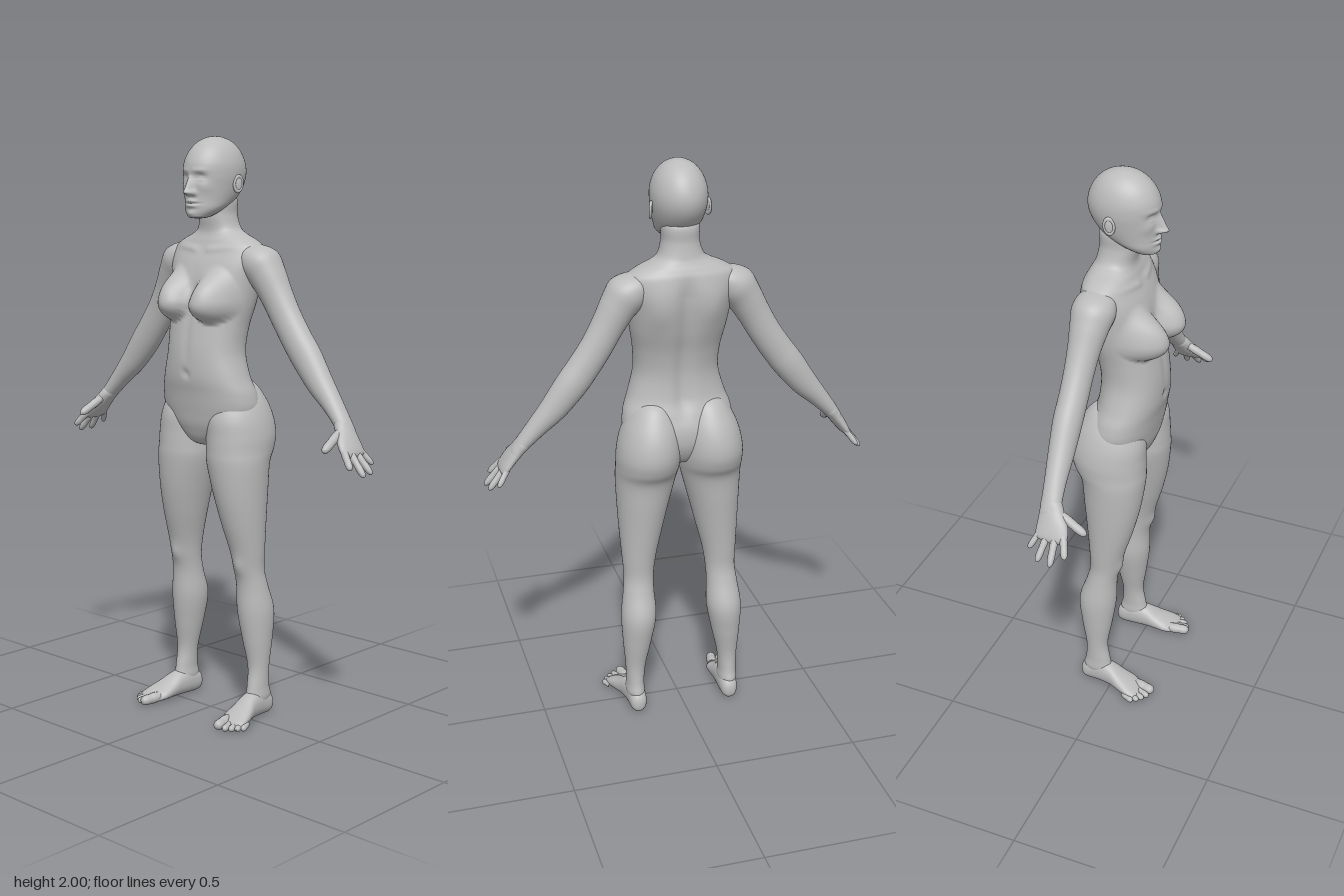
import * as THREE from 'three';

const V = (x, y, z) => new THREE.Vector3(x, y, z);
const bump = (v, c, s) => Math.exp(-(((v - c) / s) ** 2));
const step = THREE.MathUtils.smoothstep;
const clamp = THREE.MathUtils.clamp;
const X = V(1, 0, 0), Y = V(0, 1, 0), Z = V(0, 0, 1);

// Catmull-Rom value of one section component
function spline(a, b, c, d, t) {
  return b + 0.5 * t * (c - a + t * (2 * a - 5 * b + 4 * c - d + t * (3 * (b - c) + d - a)));
}

// Smooth skin through sections [x, y, z, radius along u, radius along v]
function loft(sections, u, v, { segs = 32, steps = 5, power = 2, warp } = {}) {
  const n = sections.length, pos = [], idx = [];
  const rows = (n - 1) * steps;
  for (let r = 0; r <= rows; r++) {
    const i = Math.min(Math.floor(r / steps), n - 2), t = r / steps - i;
    const at = (k) => sections[clamp(k, 0, n - 1)];
    const s = at(i).map((_, k) => spline(at(i - 1)[k], at(i)[k], at(i + 1)[k], at(i + 2)[k], t));
    for (let j = 0; j < segs; j++) {
      const a = (j / segs) * Math.PI * 2, c = Math.cos(a), d = Math.sin(a);
      const p = V(s[0], s[1], s[2])
        .addScaledVector(u, Math.max(s[3], 0.0002) * Math.sign(c) * Math.abs(c) ** (2 / power))
        .addScaledVector(v, Math.max(s[4], 0.0002) * Math.sign(d) * Math.abs(d) ** (2 / power));
      if (warp) warp(p);
      pos.push(p.x, p.y, p.z);
    }
  }
  const first = sections[0], last = sections[n - 1];
  const along = V(last[0] - first[0], last[1] - first[1], last[2] - first[2]);
  const outward = u.clone().cross(v).dot(along) > 0;
  for (let r = 0; r < rows; r++) for (let j = 0; j < segs; j++) {
    const a = r * segs + j, b = r * segs + (j + 1) % segs, c = a + segs, d = b + segs;
    if (outward) idx.push(a, b, d, a, d, c);
    else idx.push(a, d, b, a, c, d);
  }
  const g = new THREE.BufferGeometry();
  g.setAttribute('position', new THREE.Float32BufferAttribute(pos, 3));
  g.setIndex(idx);
  g.computeVertexNormals();
  return g;
}

// Rounded finger or toe from a base point to a tip
function digit(base, tip, r, flat = 1) {
  const dir = tip.clone().sub(base), len = dir.length();
  const u = dir.clone().cross(Math.abs(dir.z) > 0.6 * len ? X : Z).normalize();
  const v = dir.clone().cross(u).normalize();
  const rings = [[0, 0.9], [0.3, 1], [0.5, 0.92], [0.68, 0.95], [0.86, 0.82], [0.96, 0.5], [1, 0]];
  return loft(rings.map(([t, k]) => [...base.clone().lerp(tip, t).toArray(), r * k * flat, r * k]), u, v, { segs: 14, steps: 3 });
}

function mirror(g) {
  const m = g.clone().scale(-1, 1, 1), i = m.index.array;
  for (let k = 0; k < i.length; k += 3) [i[k], i[k + 1]] = [i[k + 1], i[k]];
  m.computeVertexNormals();
  return m;
}

// Horizontal section from height, half width, front z and back z
const slice = (y, rx, front, back, x = 0) => [x, y, (front + back) / 2, rx, (front - back) / 2];

// Chest, collarbones, navel, spine and shoulder blades
function shapeTorso(p) {
  const x = Math.abs(p.x), y = p.y;
  if (p.z > 0) {
    const w = step(p.z, 0, 0.05), up = y - 1.45;
    const d = ((x - 0.086) / 0.077) ** 2 + (up / (up < 0 ? 0.066 : 0.125)) ** 2;
    if (d < 1) p.z += w * 0.077 * (1 - d) ** (0.75 + 0.9 * clamp(up / 0.1, 0, 1));
    p.z -= 0.009 * bump(x, 0, 0.012) * bump(y, 1.21, 0.014);
    p.z -= 0.004 * bump(x, 0, 0.014) * step(y, 1.22, 1.3) * (1 - step(y, 1.5, 1.6));
    p.z += 0.006 * w * bump(y, 1.622 + 0.12 * x, 0.011) * step(x, 0.01, 0.03) * (1 - step(x, 0.12, 0.16));
  } else if (p.z < -0.05) {
    p.z += 0.016 * bump(x, 0, 0.028) * step(y, 1.1, 1.2) * (1 - step(y, 1.56, 1.66));
    p.z -= 0.01 * bump(x, 0.095, 0.045) * bump(y, 1.52, 0.07);
  }
}

// Nose, eyes, mouth, chin and cheeks
function shapeFace(p) {
  if (p.z < 0.02) return;
  const x = Math.abs(p.x), y = p.y, w = step(p.z, 0.02, 0.05);
  const n = clamp((1.872 - y) / 0.056, 0, 1);
  let d = 0.035 * n * step(y, 1.801, 1.813) * bump(x, 0, 0.009 + 0.005 * n);
  d += 0.011 * bump(x, 0.014, 0.007) * bump(y, 1.812, 0.008);
  d -= 0.015 * bump(x, 0.034, 0.018) * bump(y, 1.863, 0.013);
  d += 0.009 * bump(x, 0.035, 0.013) * bump(y, 1.86, 0.008);
  d -= 0.003 * bump(x, 0.035, 0.013) * bump(y, 1.86, 0.0025);
  d += 0.003 * bump(x, 0.03, 0.025) * bump(y, 1.886, 0.008);
  d += 0.009 * bump(x, 0, 0.021) * (bump(y, 1.785, 0.006) + bump(y, 1.77, 0.0065));
  d -= 0.005 * bump(x, 0, 0.026) * bump(y, 1.778, 0.003);
  d += 0.006 * bump(x, 0, 0.02) * bump(y, 1.744, 0.012);
  d += 0.004 * bump(x, 0.052, 0.018) * bump(y, 1.83, 0.018);
  p.z += d * w;
}

export function createModel() {
  const model = new THREE.Group();
  model.name = 'mannequin';
  const grey = new THREE.MeshStandardMaterial({ color: 0xbcbcbc });
  grey.name = 'plain grey';
  const add = (name, g) => {
    const m = new THREE.Mesh(g, grey);
    m.name = name;
    model.add(m);
  };
  const pair = (name, g) => {
    add('left' + name, g);
    add('right' + name, mirror(g));
  };

  // Torso and neck, from the groin upwards
  add('torsoAndNeck', loft([
    slice(0.945, 0, -0.02, -0.02), slice(0.965, 0.06, 0.06, -0.08), slice(1.02, 0.15, 0.092, -0.115),
    slice(1.08, 0.19, 0.105, -0.122), slice(1.14, 0.188, 0.115, -0.108), slice(1.2, 0.167, 0.126, -0.09),
    slice(1.28, 0.147, 0.126, -0.085), slice(1.36, 0.15, 0.115, -0.097), slice(1.44, 0.164, 0.1, -0.12),
    slice(1.52, 0.176, 0.085, -0.137), slice(1.58, 0.188, 0.065, -0.142), slice(1.63, 0.183, 0.04, -0.135),
    slice(1.655, 0.15, 0.03, -0.125), slice(1.675, 0.105, 0.022, -0.115), slice(1.695, 0.077, 0.02, -0.108),
    slice(1.74, 0.063, 0.024, -0.1), slice(1.8, 0.058, 0.02, -0.095), slice(1.83, 0, -0.03, -0.03),
  ], X, Z, { segs: 96, steps: 8, power: 2.2, warp: shapeTorso }));

  // Head
  add('head', loft([
    slice(1.727, 0, 0.06, 0.06), slice(1.731, 0.03, 0.09, 0.03), slice(1.742, 0.048, 0.096, 0),
    slice(1.762, 0.066, 0.097, -0.04), slice(1.79, 0.077, 0.097, -0.09), slice(1.83, 0.087, 0.098, -0.124),
    slice(1.87, 0.093, 0.101, -0.139), slice(1.91, 0.091, 0.098, -0.136), slice(1.95, 0.077, 0.078, -0.117),
    slice(1.98, 0.053, 0.046, -0.087), slice(1.996, 0.024, 0.01, -0.05), slice(2, 0, -0.02, -0.02),
  ], X, Z, { segs: 120, steps: 11, warp: shapeFace }));

  // Ears: a rim around a shallow bowl
  const placeEar = (g) => g.rotateY(-0.3).rotateX(-0.15).translate(0.096, 1.842, -0.032);
  pair('EarRim', placeEar(new THREE.TorusGeometry(0.016, 0.005, 10, 28).rotateY(Math.PI / 2).scale(1, 1.5, 0.95)));
  pair('EarBowl', placeEar(new THREE.SphereGeometry(1, 20, 14).scale(0.006, 0.026, 0.016)));

  // Arms, from inside the shoulder to the wrist
  const across = V(0.81, 0.586, 0);
  pair('Arm', loft([
    [0.12, 1.64, -0.05, 0, 0], [0.14, 1.62, -0.05, 0.04, 0.054], [0.178, 1.583, -0.05, 0.068, 0.072],
    [0.215, 1.535, -0.052, 0.062, 0.063], [0.25, 1.475, -0.055, 0.056, 0.053], [0.29, 1.405, -0.057, 0.054, 0.048],
    [0.335, 1.338, -0.057, 0.054, 0.047], [0.38, 1.278, -0.057, 0.054, 0.047], [0.44, 1.2, -0.053, 0.046, 0.042],
    [0.5, 1.135, -0.047, 0.034, 0.036], [0.55, 1.078, -0.04, 0.025, 0.034], [0.575, 1.046, -0.034, 0.018, 0.034],
    [0.585, 1.034, -0.03, 0, 0],
  ], across, Z, { segs: 40, steps: 6 }));

  // Hands
  pair('Palm', loft([
    [0.53, 1.1, -0.043, 0, 0], [0.54, 1.09, -0.042, 0.024, 0.032], [0.563, 1.06, -0.031, 0.023, 0.042],
    [0.585, 1.03, -0.02, 0.021, 0.052], [0.606, 1.0, -0.016, 0.017, 0.055], [0.616, 0.986, -0.016, 0.011, 0.046],
    [0.621, 0.979, -0.016, 0, 0],
  ], across, Z, { segs: 32 }));
  const fingers = [
    ['IndexFinger', V(0.602, 1.006, 0.024), V(0.65, 0.952, 0.048), 0.0125],
    ['MiddleFinger', V(0.605, 1.002, -0.002), V(0.672, 0.926, 0.005), 0.0125],
    ['RingFinger', V(0.603, 1.002, -0.029), V(0.665, 0.928, -0.043), 0.012],
    ['LittleFinger', V(0.595, 1.012, -0.052), V(0.638, 0.952, -0.083), 0.0105],
    ['Thumb', V(0.562, 1.055, 0), V(0.572, 1.006, 0.09), 0.0155],
  ];
  for (const [name, base, tip, r] of fingers) pair(name, digit(base, tip, r));

  // Legs, from the buttocks to the ankle, with a kneecap
  pair('Leg', loft([
    slice(1.2, 0, -0.03, -0.03, 0.09), slice(1.175, 0.05, 0.03, -0.092, 0.095), slice(1.12, 0.086, 0.07, -0.133, 0.1),
    slice(1.06, 0.104, 0.094, -0.158, 0.106), slice(1, 0.11, 0.098, -0.165, 0.111), slice(0.95, 0.109, 0.1, -0.152, 0.113),
    slice(0.9, 0.105, 0.1, -0.125, 0.117), slice(0.8, 0.09, 0.088, -0.112, 0.128), slice(0.7, 0.075, 0.066, -0.1, 0.138),
    slice(0.6, 0.06, 0.037, -0.09, 0.147), slice(0.53, 0.053, 0.02, -0.087, 0.15), slice(0.47, 0.055, 0.01, -0.1, 0.154),
    slice(0.38, 0.062, 0.008, -0.127, 0.158), slice(0.28, 0.051, -0.005, -0.117, 0.165), slice(0.18, 0.036, -0.02, -0.1, 0.172),
    slice(0.11, 0.032, -0.01, -0.102, 0.174), slice(0.07, 0.033, -0.005, -0.11, 0.174), slice(0.04, 0.02, -0.03, -0.09, 0.174),
    slice(0.03, 0, -0.06, -0.06, 0.174),
  ], X, Z, {
    segs: 56, steps: 6,
    warp: (p) => { if (p.z > -0.03) p.z += 0.008 * bump(p.x, 0.15, 0.025) * bump(p.y, 0.545, 0.03); },
  }));

  // Feet, heel to ball
  pair('Foot', loft([
    [0.172, 0.036, -0.122, 0, 0], [0.172, 0.037, -0.117, 0.018, 0.024], [0.172, 0.042, -0.098, 0.03, 0.04],
    [0.173, 0.05, -0.05, 0.034, 0.048], [0.178, 0.046, 0, 0.038, 0.043], [0.185, 0.035, 0.04, 0.046, 0.032],
    [0.192, 0.025, 0.08, 0.052, 0.022], [0.199, 0.018, 0.108, 0.045, 0.015], [0.202, 0.014, 0.122, 0.03, 0.008],
    [0.203, 0.013, 0.127, 0, 0],
  ], X, Y, { segs: 40, power: 2.2, warp: (p) => { p.y = Math.max(p.y, 0.003); } }));
  const toes = [
    ['BigToe', 0.168, 0.095, 0.182, 0.168, 0.019], ['SecondToe', 0.192, 0.1, 0.208, 0.159, 0.0125],
    ['MiddleToe', 0.21, 0.095, 0.227, 0.146, 0.012], ['FourthToe', 0.224, 0.085, 0.242, 0.131, 0.0115],
    ['LittleToe', 0.235, 0.07, 0.254, 0.113, 0.0115],
  ];
  for (const [name, x0, z0, x1, z1, r] of toes) pair(name, digit(V(x0, r + 0.004, z0), V(x1, r, z1), r));

  return model;
}
